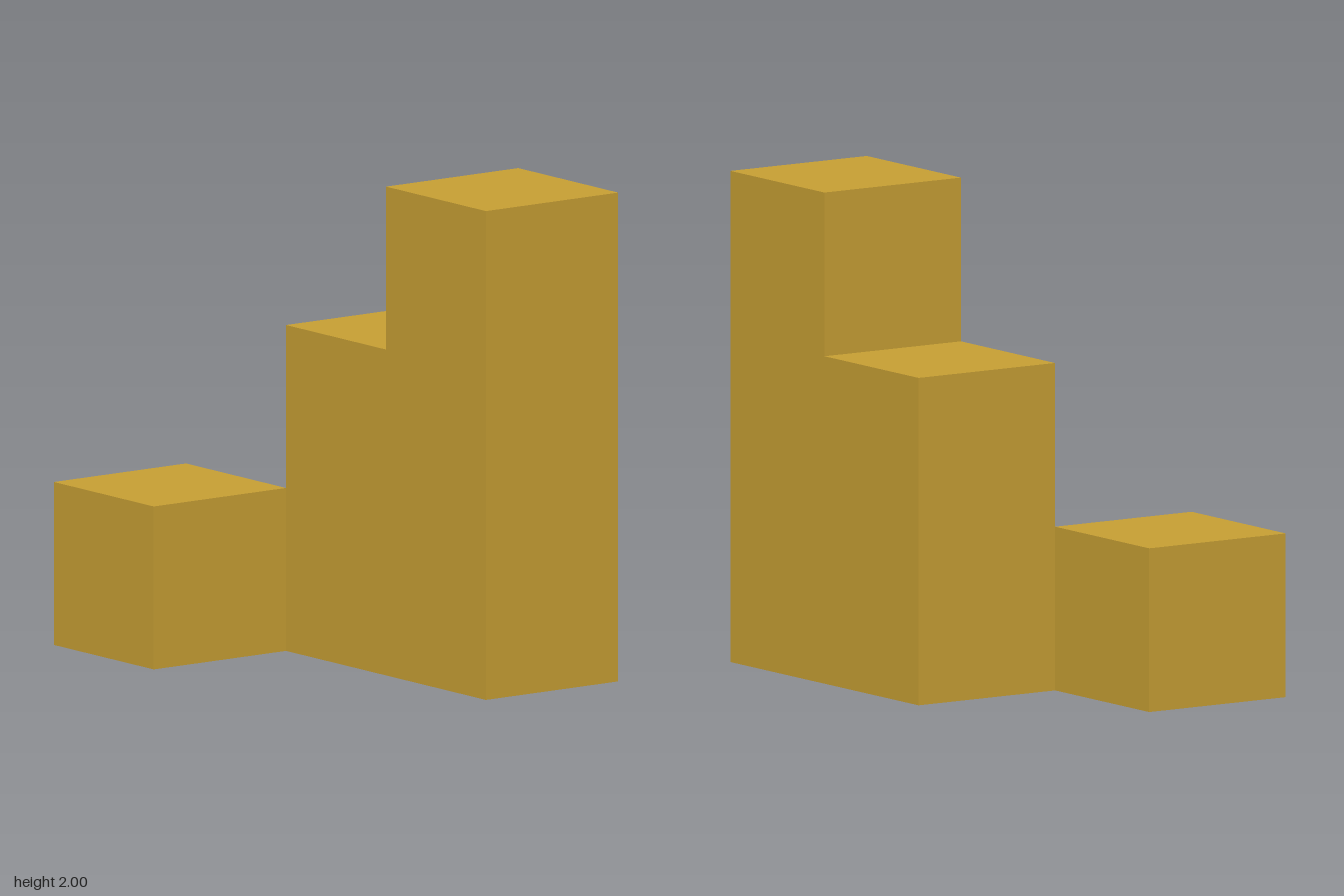
import * as THREE from 'three';

const S = 2 / 3; // side of one cube unit

export function createModel() {
  const group = new THREE.Group();
  group.name = 'steppedBlocks';
  const ochre = new THREE.MeshStandardMaterial({ color: 0xc8a034 });
  ochre.name = 'ochre';

  // Stepped tower: an L-shaped side profile (z, y), three units high in front, two behind
  const profile = new THREE.Shape([
    [-S / 2, 0], [1, 0], [1, 3 * S], [S / 2, 3 * S], [S / 2, 2 * S], [-S / 2, 2 * S],
  ].map(([z, y]) => new THREE.Vector2(z, y)));
  const towerGeometry = new THREE.ExtrudeGeometry(profile, { depth: S, bevelEnabled: false });
  towerGeometry.rotateY(-Math.PI / 2).translate(S, 0, 0);
  const tower = new THREE.Mesh(towerGeometry, ochre);
  tower.name = 'steppedTower';
  group.add(tower);

  // Single cube touching the tower's back corner edge
  const cube = new THREE.Mesh(new THREE.BoxGeometry(S, S, S), ochre);
  cube.name = 'cornerCube';
  cube.position.set(-S / 2, S / 2, -S);
  group.add(cube);

  return group;
}
